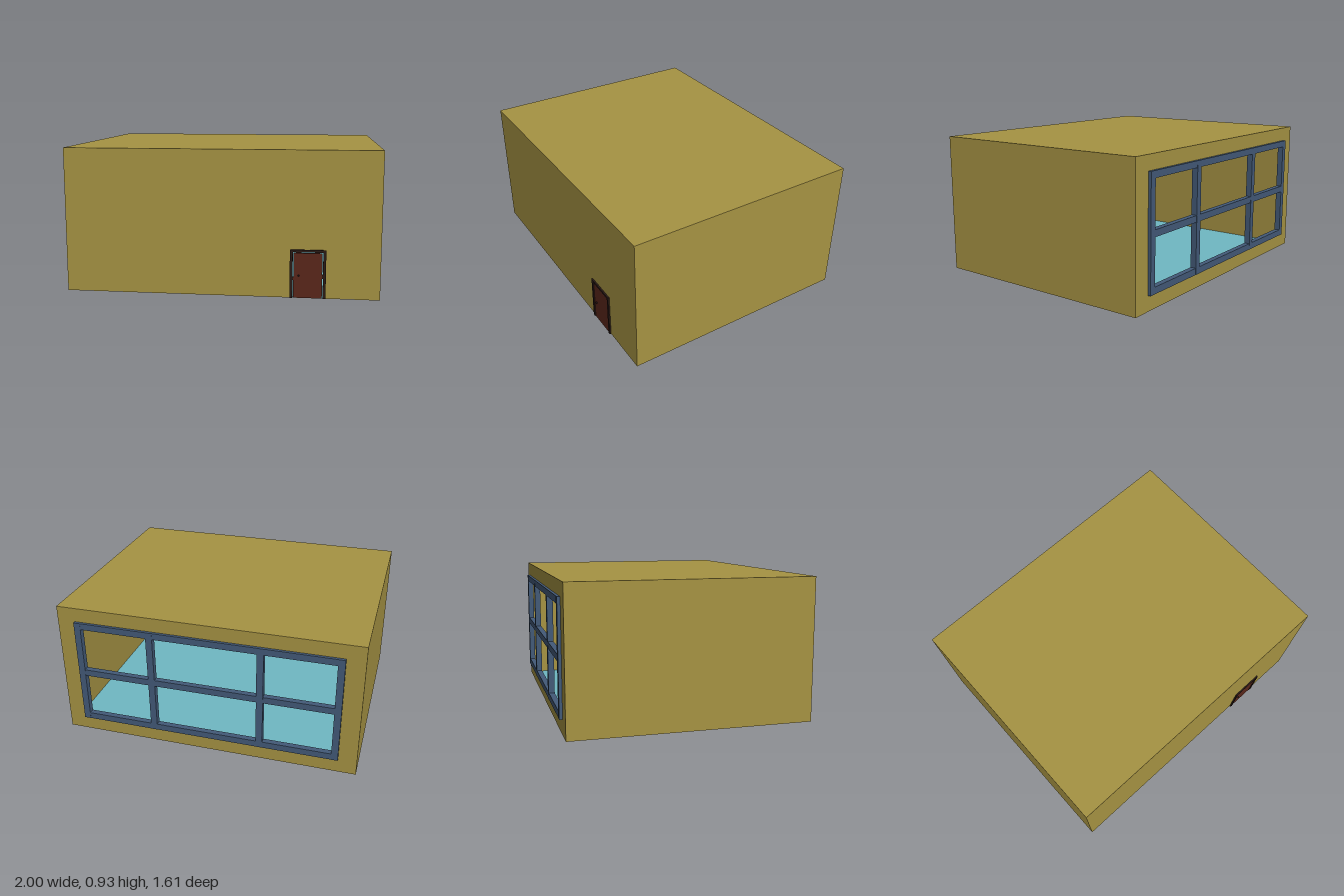
import * as THREE from 'three';

const W = 2, H = 0.93, ZF = 0.79, ZB = -0.785;

function material(color, thin = false) {
  return new THREE.MeshStandardMaterial({ color, side: thin ? THREE.DoubleSide : THREE.FrontSide });
}

function rect(Type, x0, y0, x1, y1) {
  return new Type([[x0, y0], [x1, y0], [x1, y1], [x0, y1]].map(p => new THREE.Vector2(...p)));
}

export function createModel() {
  const model = new THREE.Group();
  model.name = 'room';
  const wallMat = material(0xa69343, true);
  const floorMat = material(0x70b8c3, true);
  const windowMat = material(0x435a78);
  const doorMat = material(0x5a271b);
  const darkMat = material(0x2a1a16);

  const add = (parent, name, geometry, mat) => {
    const mesh = new THREE.Mesh(geometry, mat);
    mesh.name = name;
    parent.add(mesh);
    return mesh;
  };
  // box given by its extents
  const box = (parent, name, mat, x0, x1, y0, y1, z0, z1) => {
    const mesh = add(parent, name, new THREE.BoxGeometry(x1 - x0, y1 - y0, z1 - z0), mat);
    mesh.position.set((x0 + x1) / 2, (y0 + y1) / 2, (z0 + z1) / 2);
    return mesh;
  };

  // thin shell: front wall with doorway, back wall with window opening
  const front = rect(THREE.Shape, -1, 0, 1, H);
  front.holes.push(rect(THREE.Path, 0.457, 0.001, 0.648, 0.296));
  add(model, 'frontWall', new THREE.ShapeGeometry(front), wallMat).position.z = ZF;

  const back = rect(THREE.Shape, -1, 0, 1, H);
  back.holes.push(rect(THREE.Path, -0.86, 0.12, 0.86, 0.815));
  const backGeo = new THREE.ShapeGeometry(back).rotateY(Math.PI);
  add(model, 'backWall', backGeo, wallMat).position.z = ZB;

  const depth = ZF - ZB, zMid = (ZF + ZB) / 2;
  for (const s of [-1, 1]) {
    const side = new THREE.PlaneGeometry(depth, H).rotateY(s * Math.PI / 2);
    add(model, s > 0 ? 'leftWall' : 'rightWall', side, wallMat).position.set(s, H / 2, zMid);
  }
  add(model, 'roof', new THREE.PlaneGeometry(W, depth).rotateX(-Math.PI / 2), wallMat).position.set(0, H, zMid);
  add(model, 'floor', new THREE.PlaneGeometry(W, depth).rotateX(Math.PI / 2), floorMat).position.set(0, 0, zMid);

  // window frame and glazing bars
  const win = new THREE.Group();
  win.name = 'windowFrame';
  model.add(win);
  const B = 0.044, z0 = -0.805, z1 = -0.765;
  for (const x of [-0.858, -0.363, 0.363, 0.858])
    box(win, 'windowPost', windowMat, x - B / 2, x + B / 2, 0.1, 0.835, z0, z1);
  for (const y of [0.122, 0.467, 0.813])
    box(win, 'windowRail', windowMat, -0.86, 0.86, y - B / 2, y + B / 2, z0 + 0.001, z1 - 0.001);

  // door frame, leaf and fittings
  const door = new THREE.Group();
  door.name = 'door';
  model.add(door);
  const surround = new THREE.Shape([
    [0.44, 0], [0.458, 0], [0.458, 0.295], [0.647, 0.295], [0.647, 0], [0.665, 0], [0.665, 0.31], [0.44, 0.31],
  ].map(p => new THREE.Vector2(...p)));
  const frameGeo = new THREE.ExtrudeGeometry(surround, { depth: 0.02, bevelEnabled: false });
  add(door, 'doorFrame', frameGeo, darkMat).position.z = 0.78;
  box(door, 'doorLeaf', doorMat, 0.463, 0.642, 0.002, 0.289, 0.784, 0.796);
  box(door, 'latch', darkMat, 0.456, 0.466, 0.115, 0.135, 0.787, 0.793);
  box(door, 'hinge', darkMat, 0.64, 0.65, 0.13, 0.155, 0.787, 0.797);
  const knob = add(door, 'doorKnob', new THREE.CylinderGeometry(0.006, 0.006, 0.034, 12).rotateX(Math.PI / 2), darkMat);
  knob.position.set(0.495, 0.145, 0.789);

  return model;
}
